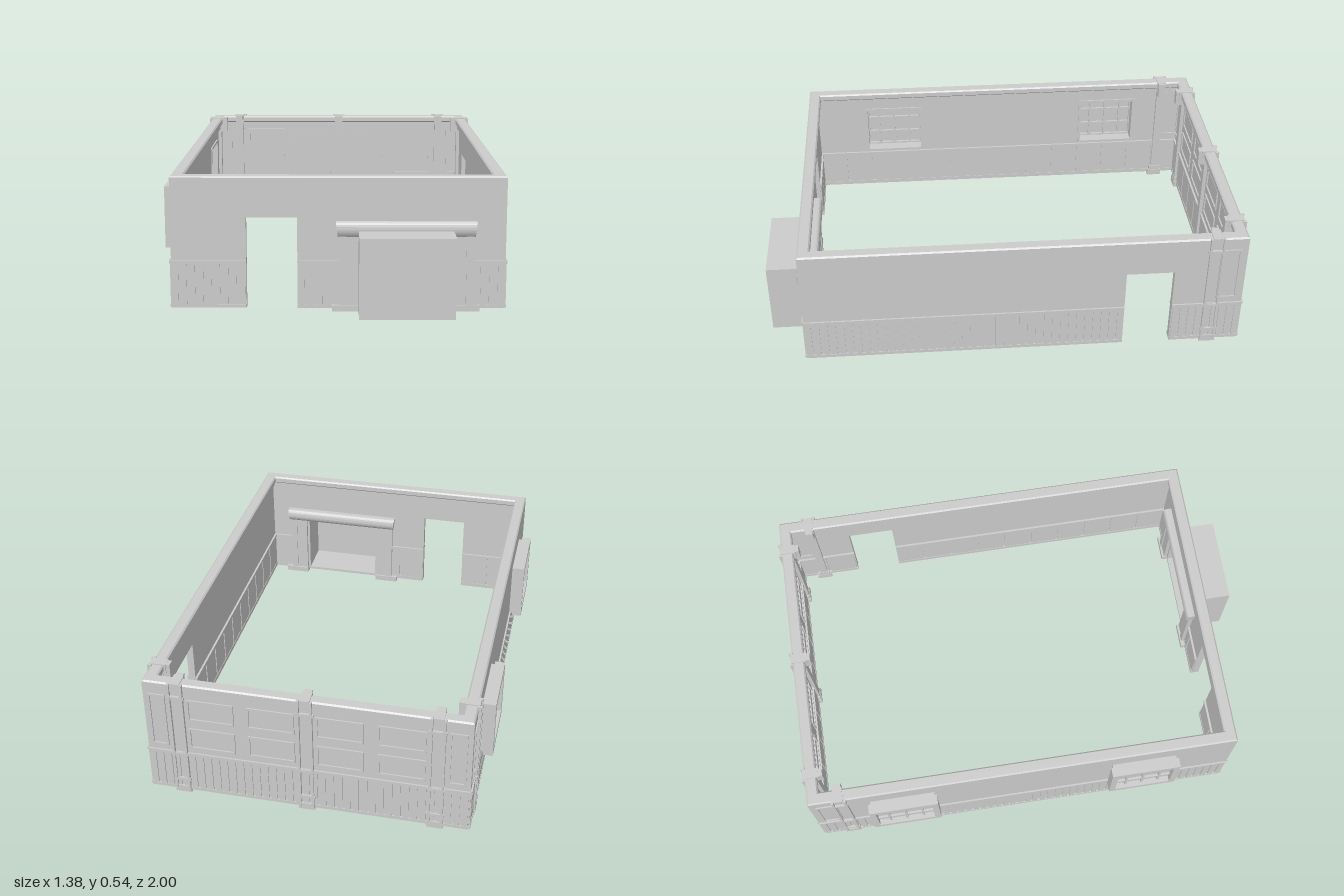
import * as THREE from 'three';
import { mergeGeometries } from 'three/addons/utils/BufferGeometryUtils.js';

const material = new THREE.MeshStandardMaterial({ color: 0xcccccc, flatShading: true });
const FLOOR = 0.012, TOP = 0.535, THICK = 0.03, RAIL = 0.19;

// Box from its low and high corners
function box(x0, x1, y0, y1, z0, z1) {
  return new THREE.BoxGeometry(x1 - x0, y1 - y0, z1 - z0)
    .translate((x0 + x1) / 2, (y0 + y1) / 2, (z0 + z1) / 2);
}

function add(parent, name, geometries) {
  const list = [].concat(geometries);
  const mesh = new THREE.Mesh(list.length > 1 ? mergeGeometries(list) : list[0], material);
  mesh.name = name;
  parent.add(mesh);
  return mesh;
}

function rectPath(x0, x1, y0, y1, Type = THREE.Path) {
  return new Type([[x0, y0], [x1, y0], [x1, y1], [x0, y1]].map(p => new THREE.Vector2(...p)));
}

// Flat rectangular frame, extruded from z0 to z1
function frame(x0, x1, y0, y1, bar, z0, z1) {
  const shape = rectPath(x0, x1, y0, y1, THREE.Shape);
  shape.holes.push(rectPath(x0 + bar, x1 - bar, y0 + bar, y1 - bar));
  return new THREE.ExtrudeGeometry(shape, { depth: z1 - z0, bevelEnabled: false }).translate(0, 0, z0);
}

// Stretches of wall left between floor-level openings
function spans(half, openings) {
  const out = [];
  let start = -half;
  for (const o of openings) {
    out.push([start, o.u0]);
    start = o.u1;
  }
  out.push([start, half]);
  return out;
}

// Row of vertical boards filling one span
function boards(span, pitch, fill, z0, z1) {
  const count = Math.max(1, Math.round((span[1] - span[0]) / pitch));
  const step = (span[1] - span[0]) / count;
  return Array.from({ length: count }, (_, i) => {
    const c = span[0] + (i + 0.5) * step;
    return box(c - step * fill / 2, c + step * fill / 2, FLOOR + 0.012, RAIL, z0, z1);
  });
}

// Pair of outer strips, inner post, foot and corbel
function addPost(wall, u) {
  const post = new THREE.Group();
  post.name = 'wallPost';
  post.position.x = u;
  wall.add(post);
  add(post, 'outerStrips', [-1, 1].map(s => box(s * 0.026 - 0.005, s * 0.026 + 0.005, FLOOR, 0.54, -0.005, 0.012)));
  add(post, 'strapBands', [0.06, RAIL, 0.47].map(y => box(-0.036, 0.036, y, y + 0.012, -0.005, 0.011)));
  add(post, 'innerPost', box(-0.017, 0.017, 0.03, 0.5, -0.046, -0.02));
  add(post, 'postFoot', [box(-0.033, 0.033, 0, 0.03, -0.05, 0.01), box(-0.026, 0.026, 0.03, 0.05, -0.048, 0)]);
  add(post, 'corbel', [box(-0.016, 0.016, 0.47, 0.54, -0.076, -0.02), box(-0.02, 0.02, 0.5, 0.541, -0.06, 0.006)]);
}

// One wall: u runs along it, local +z points outward
function makeWall({ name, length, position, angle, openings = [], windows = [], panels = [], posts = [] }) {
  const wall = new THREE.Group();
  wall.name = name;
  wall.position.set(...position);
  wall.rotation.y = angle;
  const half = length / 2;

  // Slab outline notched at the floor openings
  const shape = new THREE.Shape();
  shape.moveTo(-half, FLOOR);
  for (const o of openings) {
    shape.lineTo(o.u0, FLOOR);
    shape.lineTo(o.u0, o.top);
    shape.lineTo(o.u1, o.top);
    shape.lineTo(o.u1, FLOOR);
  }
  shape.lineTo(half, FLOOR);
  shape.lineTo(half, TOP - 0.015);
  shape.lineTo(-half, TOP - 0.015);
  for (const u of windows) shape.holes.push(rectPath(u - 0.132, u + 0.132, 0.21, 0.435));
  add(wall, 'wallSlab', new THREE.ExtrudeGeometry(shape, { depth: THICK, bevelEnabled: false }).translate(0, 0, -THICK));

  // Wainscot: narrow slats outside, wide boards inside
  for (const s of spans(half, openings)) {
    add(wall, 'outerSlats', boards(s, 0.034, 0.68, -0.002, 0.005));
    add(wall, 'outerRails', [box(s[0], s[1], RAIL, RAIL + 0.014, -0.002, 0.007), box(s[0], s[1], FLOOR, FLOOR + 0.014, -0.002, 0.006)]);
    const inner = [Math.max(s[0], -half + THICK), Math.min(s[1], half - THICK)];
    add(wall, 'innerBoards', boards(inner, 0.13, 0.93, -THICK - 0.005, -THICK + 0.002));
    add(wall, 'innerRails', [box(inner[0], inner[1], RAIL - 0.005, RAIL + 0.008, -THICK - 0.009, -THICK + 0.002),
      box(inner[0], inner[1], FLOOR, FLOOR + 0.018, -THICK - 0.007, -THICK + 0.002)]);
  }

  // Framed panels on both faces
  for (const [u0, u1, y0, y1] of panels) {
    add(wall, 'outerPanel', frame(u0, u1, y0, y1, 0.008, -0.001, 0.006));
    add(wall, 'innerPanel', frame(u0, u1, y0, y1, 0.008, -THICK - 0.006, -THICK + 0.001));
  }
  posts.forEach(u => addPost(wall, u));
  windows.forEach(u => wall.add(makeWindow(u)));
  return wall;
}

// Boxed-out window with a four by three grid of panes
function makeWindow(u) {
  const win = new THREE.Group();
  win.name = 'window';
  win.position.x = u;
  add(win, 'windowSleeve', frame(-0.138, 0.138, 0.202, 0.443, 0.012, -THICK - 0.006, 0.02));
  add(win, 'windowCasing', frame(-0.147, 0.147, 0.195, 0.45, 0.026, 0.014, 0.055));
  add(win, 'windowPane', box(-0.13, 0.13, 0.21, 0.435, 0.026, 0.03));
  const bars = [-1, 0, 1].map(i => box(i * 0.073 - 0.005, i * 0.073 + 0.005, 0.21, 0.435, 0.016, 0.04));
  for (const y of [0.283, 0.362]) bars.push(box(-0.13, 0.13, y - 0.005, y + 0.005, 0.016, 0.04));
  add(win, 'windowBars', bars);
  return win;
}

function makeFireplace() {
  const fire = new THREE.Group();
  fire.name = 'fireplace';
  // Firebox, open toward the room
  add(fire, 'firebox', [
    box(0.1, 0.47, 0.008, 0.325, 0.985, 1),
    box(0.1, 0.112, 0.008, 0.325, 0.815, 0.985),
    box(0.458, 0.47, 0.008, 0.325, 0.815, 0.985),
    box(0.112, 0.458, 0.313, 0.325, 0.815, 0.985),
    box(0.112, 0.458, 0.008, 0.02, 0.815, 0.985),
  ]);
  // Stepped pilasters, mirrored about the firebox
  for (const s of [-1, 1]) {
    const at = (a, b, y0, y1, z0, z1) => s < 0
      ? box(0.286 - b, 0.286 - a, y0, y1, z0, z1) : box(0.286 + a, 0.286 + b, y0, y1, z0, z1);
    add(fire, 'pilaster', [
      at(0.183, 0.262, 0.02, 0.31, 0.8, 0.853),
      at(0.235, 0.264, 0.02, 0.31, 0.795, 0.858),
      at(0.18, 0.29, 0, 0.025, 0.79, 0.86),
    ]);
  }
  // Rounded mantel beam, slightly wider at the top
  const section = new THREE.Shape();
  section.moveTo(0.8, 0.3);
  section.lineTo(0.856, 0.3);
  section.quadraticCurveTo(0.868, 0.315, 0.868, 0.33);
  section.quadraticCurveTo(0.868, 0.36, 0.85, 0.361);
  section.lineTo(0.795, 0.361);
  section.quadraticCurveTo(0.778, 0.36, 0.778, 0.33);
  section.quadraticCurveTo(0.78, 0.31, 0.8, 0.3);
  const beam = new THREE.ExtrudeGeometry(section, { depth: 0.55, bevelEnabled: false, curveSegments: 5 })
    .rotateY(-Math.PI / 2).translate(0.561, 0, 0);
  const p = beam.attributes.position;
  for (let i = 0; i < p.count; i++) {
    const taper = 1 - (0.361 - p.getY(i)) * 0.4;
    p.setX(i, 0.286 + (p.getX(i) - 0.286) * taper);
  }
  beam.computeVertexNormals();
  add(fire, 'mantel', beam);
  return fire;
}

export function createModel() {
  const model = new THREE.Group();
  model.name = 'roomShell';

  const backPanels = [[0.565, 0.635, 0.23, 0.48], [-0.635, -0.565, 0.23, 0.48]];
  for (const bay of [-0.26, 0.26]) for (const side of [-0.122, 0.122]) for (const y of [0.23, 0.37]) {
    backPanels.push([bay + side - 0.095, bay + side + 0.095, y, y + 0.1]);
  }

  model.add(
    makeWall({ name: 'frontWall', length: 1.31, position: [0.02, 0, 0.845], angle: 0,
      openings: [{ u0: -0.36, u1: -0.16, top: 0.375 }, { u0: 0.08, u1: 0.45, top: 0.325 }] }),
    makeWall({ name: 'rightHandWall', length: 1.83, position: [0.675, 0, -0.07], angle: Math.PI / 2,
      openings: [{ u0: 0.42, u1: 0.62, top: 0.375 }], posts: [0.785], panels: [[0.803, 0.888, 0.23, 0.48]] }),
    makeWall({ name: 'backWall', length: 1.31, position: [0.02, 0, -0.985], angle: Math.PI,
      posts: [-0.52, 0, 0.52], panels: backPanels }),
    makeWall({ name: 'leftHandWall', length: 1.83, position: [-0.635, 0, -0.07], angle: -Math.PI / 2,
      windows: [-0.525, 0.52], posts: [-0.785], panels: [[-0.888, -0.803, 0.23, 0.48]] }),
  );

  // Cornice ring: a wide cap over a narrower inner moulding
  const ring = (inset, y0, y1, bevel) => {
    const shape = rectPath(-0.635 + bevel, 0.675 - bevel, -0.845 + bevel, 0.985 - bevel, THREE.Shape);
    shape.holes.push(rectPath(-0.635 + inset, 0.675 - inset, -0.845 + inset, 0.985 - inset));
    return new THREE.ExtrudeGeometry(shape, { depth: y1 - y0 - 2 * bevel, bevelEnabled: bevel > 0,
      bevelSize: bevel, bevelThickness: bevel, bevelSegments: 1 })
      .rotateX(-Math.PI / 2).translate(0, y0 + bevel, 0);
  };
  add(model, 'corniceCap', ring(0.045, 0.505, 0.537, 0.006));
  add(model, 'corniceMoulding', ring(0.041, 0.485, 0.508, 0));

  model.add(makeFireplace());
  return model;
}
